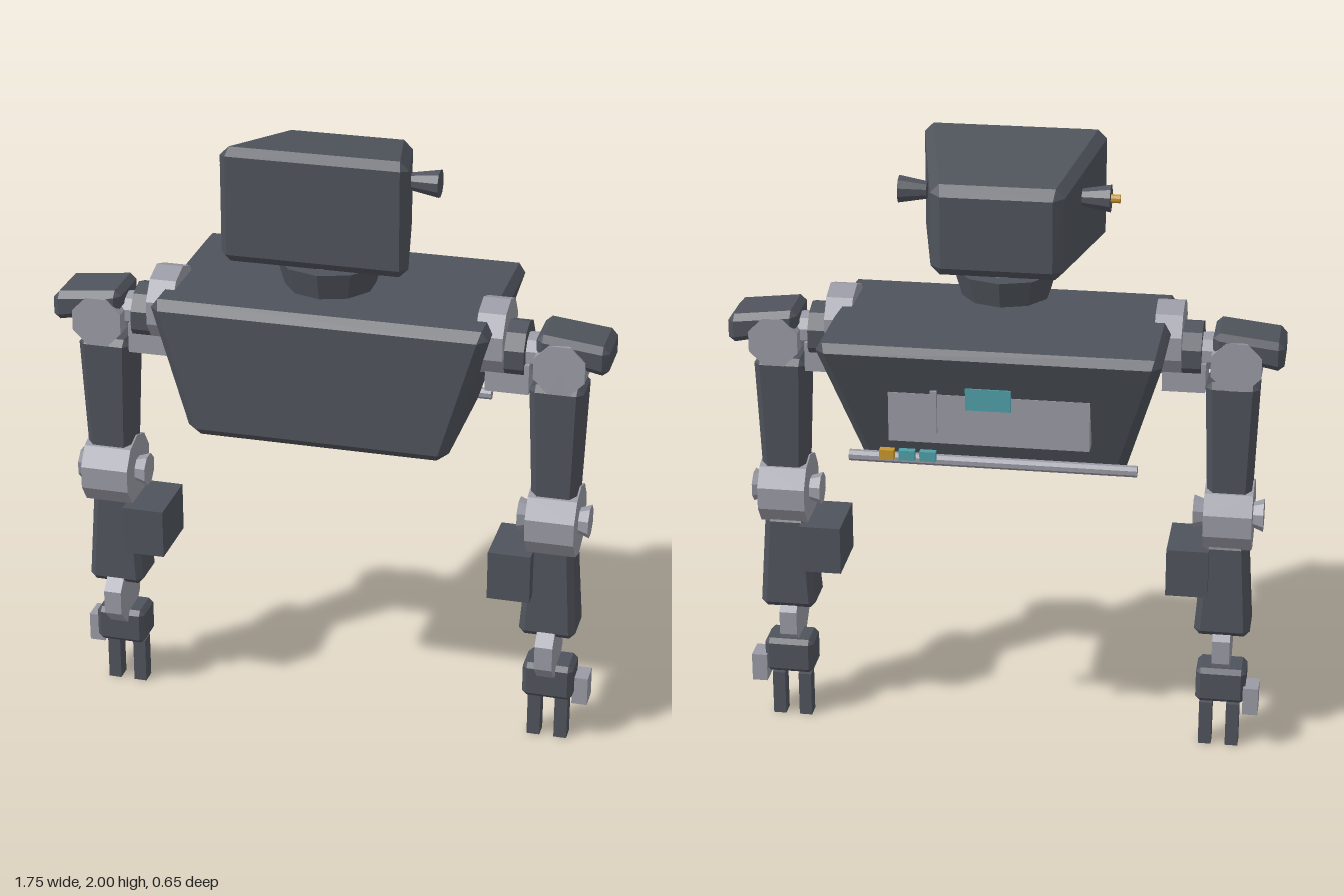
import * as THREE from 'three';
import { ConvexGeometry } from 'three/addons/geometries/ConvexGeometry.js';

const mat = (name, color) => Object.assign(new THREE.MeshStandardMaterial({ color }), { name });

export function createModel() {
  const dark = mat('dark armour', 0x4f535b);
  const light = mat('light metal', 0x9a9aa5);
  const teal = mat('teal connector', 0x4f9fa8);
  const gold = mat('gold contact', 0xc9982f);
  const model = new THREE.Group();
  model.name = 'robotUpperBody';

  const add = (parent, name, geometry, material) => {
    const mesh = new THREE.Mesh(geometry, material);
    mesh.name = name;
    parent.add(mesh);
    return mesh;
  };

  // Plain box from its limits
  const box = (parent, name, material, [x0, x1], [y0, y1], [z0, z1]) =>
    add(parent, name, new THREE.BoxGeometry(x1 - x0, y1 - y0, z1 - z0)
      .translate((x0 + x1) / 2, (y0 + y1) / 2, (z0 + z1) / 2), material);

  // Chamfered six-sided block; corner(i, j, k) gives each corner for 0/1 in x, y, z
  const block = (parent, name, material, corner, bevel) => {
    const points = [];
    for (let n = 0; n < 8; n++) {
      const id = [n & 1, (n >> 1) & 1, n >> 2];
      const c = new THREE.Vector3(...corner(...id));
      const edges = [0, 1, 2].map((axis) => {
        const other = id.map((v, a) => (a === axis ? 1 - v : v));
        return new THREE.Vector3(...corner(...other)).sub(c).normalize().multiplyScalar(bevel);
      });
      for (let a = 0; a < 3; a++) points.push(c.clone().add(edges[a]).add(edges[(a + 1) % 3]));
    }
    return add(parent, name, new ConvexGeometry(points), material);
  };

  // Block tapering between a bottom and a top rectangle
  const taper = (parent, name, material, [y0, y1], bottom, top, bevel) =>
    block(parent, name, material, (i, j, k) => {
      const r = j ? top : bottom;
      return [r[i], j ? y1 : y0, r[2 + k]];
    }, bevel);

  // Faceted drum along x, from x0 (radius r0) to x1 (radius r1)
  const drum = (parent, name, material, x0, x1, y, z, r0, r1 = r0, sides = 10) => {
    const geometry = new THREE.CylinderGeometry(r1, r0, x1 - x0, sides).toNonIndexed();
    geometry.rotateY(Math.PI / sides).rotateZ(-Math.PI / 2).translate((x0 + x1) / 2, y, z);
    geometry.computeVertexNormals();
    return add(parent, name, geometry, material);
  };

  // Torso: narrow below, with a sloping back
  taper(model, 'torso', dark, [1.035, 1.475],
    [-0.405, 0.405, -0.165, 0.30], [-0.535, 0.535, -0.33, 0.30], 0.03);

  // Neck
  const neck = new THREE.CylinderGeometry(0.165, 0.14, 0.085, 10).toNonIndexed();
  neck.computeVertexNormals();
  add(model, 'neck', neck.translate(0, 1.56, 0.107), dark);
  const collar = new THREE.CylinderGeometry(0.16, 0.16, 0.03, 8).toNonIndexed();
  collar.computeVertexNormals();
  add(model, 'neckCollar', collar.scale(1, 1, 0.7).translate(0, 1.615, 0.11), light);
  box(model, 'neckPlate', dark, [-0.09, 0.09], [1.625, 1.645], [0.03, 0.19]);

  // Head: wedge narrowing and falling toward the back
  block(model, 'head', dark, (i, j, k) => [
    (i ? 1 : -1) * (k ? 0.293 : 0.2),
    j ? (k ? 2.003 : 1.92) : 1.637,
    k ? 0.327 : -0.117,
  ], 0.028);
  const goldTip = drum(model, 'earTip', gold, -0.357, -0.325, 1.853, 0.066, 0.014);
  goldTip.geometry.computeVertexNormals();

  // Back equipment: panel, strip, connectors and rail
  box(model, 'backPanel', light, [-0.31, 0.31], [1.155, 1.315], [-0.272, -0.18]);
  box(model, 'panelStrip', light, [0.158, 0.178], [1.19, 1.33], [-0.286, -0.24]);
  box(model, 'panelConnector', teal, [-0.07, 0.07], [1.275, 1.345], [-0.286, -0.25]);
  box(model, 'goldContact', gold, [0.295, 0.34], [1.09, 1.122], [-0.275, -0.25]);
  for (const x of [0.19, 0.255])
    box(model, 'smallConnector', teal, [x - 0.025, x + 0.025], [1.09, 1.122], [-0.272, -0.25]);
  drum(model, 'backRail', light, -0.45, 0.45, 1.063, -0.19, 0.018, 0.018, 8);

  // One side is built on +x, then mirrored
  const buildSide = (side) => {
    const arm = new THREE.Group();
    arm.name = side > 0 ? 'leftArm' : 'rightArm';

    // Ear knob
    drum(arm, 'earKnob', dark, 0.24, 0.328, 1.853, 0.066, 0.028, 0.044);

    // Shoulder
    drum(arm, 'shoulderDisc', light, 0.475, 0.56, 1.4, 0.105, 0.12);
    drum(arm, 'shoulderHub', dark, 0.54, 0.62, 1.36, 0.105, 0.095);
    box(arm, 'shoulderBracket', light, [0.5, 0.635], [1.245, 1.34], [0.03, 0.18]);
    drum(arm, 'shoulderAxle', light, 0.55, 0.7, 1.36, 0.105, 0.06);
    const joint = new THREE.CylinderGeometry(0.085, 0.085, 0.2, 8).toNonIndexed();
    joint.rotateY(Math.PI / 8).rotateX(Math.PI / 2).translate(0.73, 1.345, 0.105);
    joint.computeVertexNormals();
    add(arm, 'shoulderJoint', joint, light);
    block(arm, 'shoulderCap', dark, (i, j, k) => [
      i ? 0.877 : 0.655,
      j ? (i ? 1.425 : 1.45) : (i ? 1.33 : 1.375),
      k ? 0.198 : 0.008,
    ], 0.02);

    // Upper arm and elbow
    taper(arm, 'upperArm', dark, [0.86, 1.278],
      [0.65, 0.79, 0.045, 0.167], [0.635, 0.803, 0.027, 0.187], 0.02);
    drum(arm, 'elbowDisc', light, 0.643, 0.797, 0.805, 0.107, 0.117);
    drum(arm, 'elbowBoltOuter', light, 0.79, 0.83, 0.805, 0.107, 0.038, 0.053, 8);
    drum(arm, 'elbowBoltInner', light, 0.606, 0.65, 0.805, 0.107, 0.053, 0.038, 8);

    // Forearm and side box
    taper(arm, 'forearm', dark, [0.405, 0.73],
      [0.622, 0.805, 0.012, 0.168], [0.645, 0.785, 0.03, 0.155], 0.02);
    box(arm, 'forearmBox', dark, [0.53, 0.665], [0.55, 0.71], [0.002, 0.213]);

    // Wrist and hand
    drum(arm, 'wristDisc', light, 0.685, 0.742, 0.35, 0.107, 0.104, 0.104, 8);
    taper(arm, 'hand', dark, [0.165, 0.285],
      [0.635, 0.797, 0.012, 0.135], [0.635, 0.797, 0.012, 0.135], 0.015);
    box(arm, 'thumb', light, [0.79, 0.84], [0.133, 0.228], [0.008, 0.085]);
    for (const x of [0.669, 0.757])
      box(arm, 'finger', dark, [x - 0.021, x + 0.021], [0, 0.152], [0.035, 0.086]);

    arm.scale.x = side;
    model.add(arm);
  };
  buildSide(1);
  buildSide(-1);

  return model;
}
